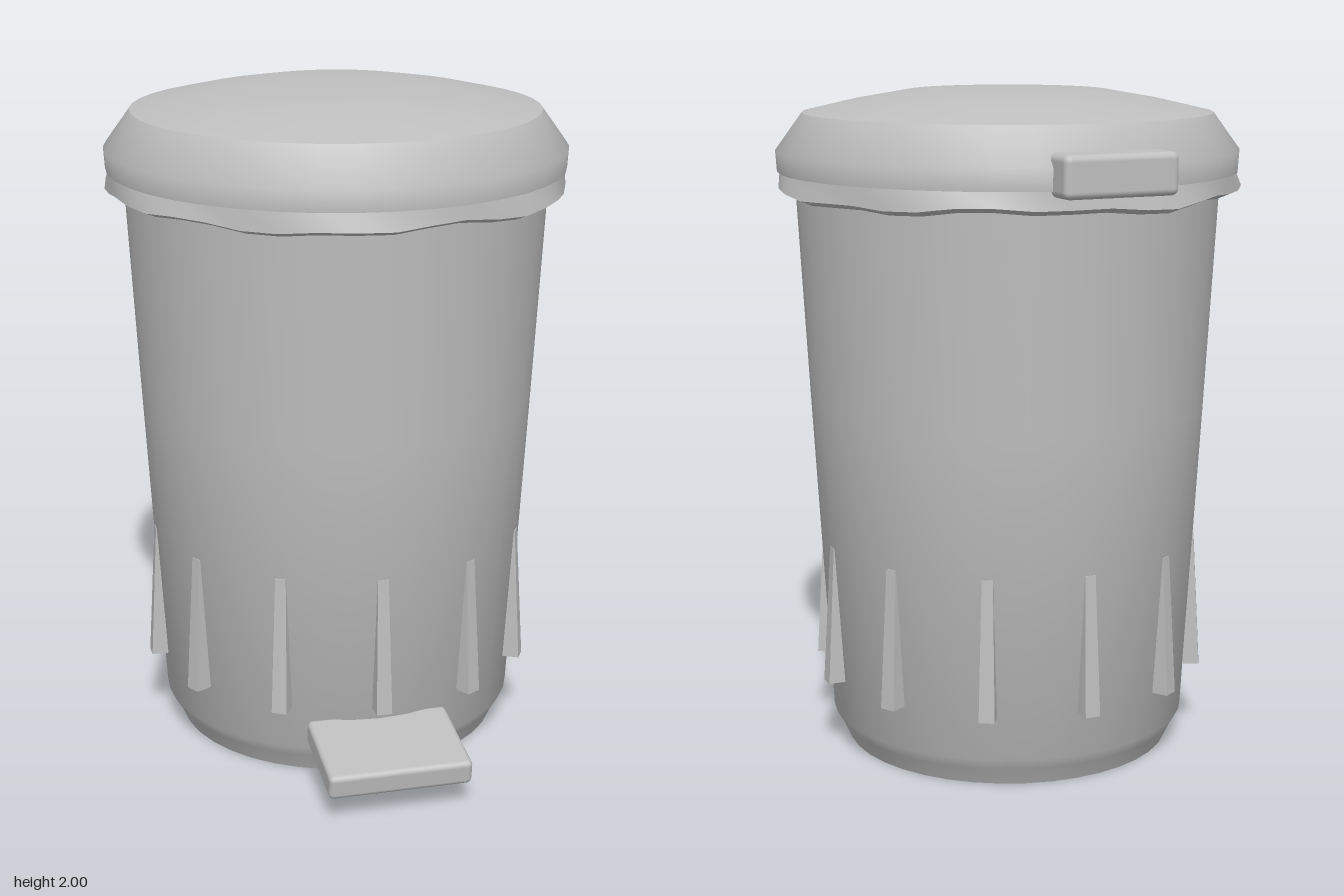
import * as THREE from 'three';
import { toCreasedNormals } from 'three/addons/utils/BufferGeometryUtils.js';
import { RoundedBoxGeometry } from 'three/addons/geometries/RoundedBoxGeometry.js';

const SIDES = 40;

function lathe(profile, crease) {
  const geo = new THREE.LatheGeometry(profile.map(([r, y]) => new THREE.Vector2(r, y)), SIDES);
  return toCreasedNormals(geo, crease);
}

// Tapered rib that fades into the wall at its top
function ribGeometry() {
  const geo = new THREE.BoxGeometry(1, 1, 1);
  const p = geo.attributes.position;
  for (let i = 0; i < p.count; i++) {
    const top = p.getY(i) > 0, outer = p.getZ(i) > 0;
    p.setXYZ(i,
      Math.sign(p.getX(i)) * (top ? 0.018 : 0.026) * (outer ? 0.9 : 1),
      top ? 0.645 : 0.225,
      outer ? (top ? 0.578 : 0.602) : 0.52);
  }
  geo.computeVertexNormals();
  return geo;
}

// Crumpled liner edge hanging below the lid
function linerGeometry() {
  const profile = [[0.62, 1.7], [0.655, 1.69], [0.692, 1.705], [0.68, 1.76], [0.62, 1.775]];
  const geo = new THREE.LatheGeometry(profile.map(([r, y]) => new THREE.Vector2(r, y)), SIDES);
  const p = geo.attributes.position;
  for (let i = 0; i < p.count; i++) {
    const x = p.getX(i), y = p.getY(i), z = p.getZ(i);
    const a = Math.atan2(z, x), r = Math.hypot(x, z);
    if (r < 0.64 || y > 1.75) continue;
    const wave = Math.sin(5 * a + 1) * 0.5 + Math.sin(11 * a) * 0.5;
    const s = 1 + 0.012 * Math.sin(7 * a + 2);
    p.setXYZ(i, x * s, y + 0.012 * wave, z * s);
  }
  return toCreasedNormals(geo, 0.6);
}

export function createModel() {
  const model = new THREE.Group();
  const grey = new THREE.MeshStandardMaterial({ color: 0xbfbfbf });
  grey.name = 'grey';

  const add = (name, geo, parent) => {
    const mesh = new THREE.Mesh(geo, grey);
    mesh.name = name;
    parent.add(mesh);
    return mesh;
  };

  // Round parts share an axis slightly behind the centre
  const bin = new THREE.Group();
  bin.name = 'bin';
  bin.position.z = -0.034;
  model.add(bin);

  add('body', lathe([[0, 0], [0.5, 0], [0.525, 0.055], [0.546, 0.09],
    [0.6, 1.06], [0.635, 1.72], [0, 1.72]], 0.6), bin);
  add('liner', linerGeometry(), bin);
  add('lidRim', lathe([[0.6, 1.758], [0.688, 1.758], [0.692, 1.82], [0.612, 1.93]], 0.8), bin);
  add('lidTop', lathe([[0.612, 1.93], [0.46, 1.965], [0.3, 1.993], [0.15, 1.998], [0, 2]], 0.8), bin);

  // Ribs around the lower wall
  const rib = ribGeometry();
  for (let i = 0; i < 12; i++) add('rib', rib, bin).rotation.y = i * Math.PI / 6;

  // Foot pedal, sloping down to the front
  const pedal = add('pedal', new RoundedBoxGeometry(0.427, 0.076, 0.3, 3, 0.016), model);
  pedal.position.set(-0.003, 0.135, 0.628);
  pedal.rotation.x = 0.14;

  // Hinge block at the back of the lid
  const hinge = add('hinge', new RoundedBoxGeometry(0.345, 0.12, 0.16, 3, 0.02), model);
  hinge.position.set(-0.004, 1.8, -0.7);

  return model;
}
